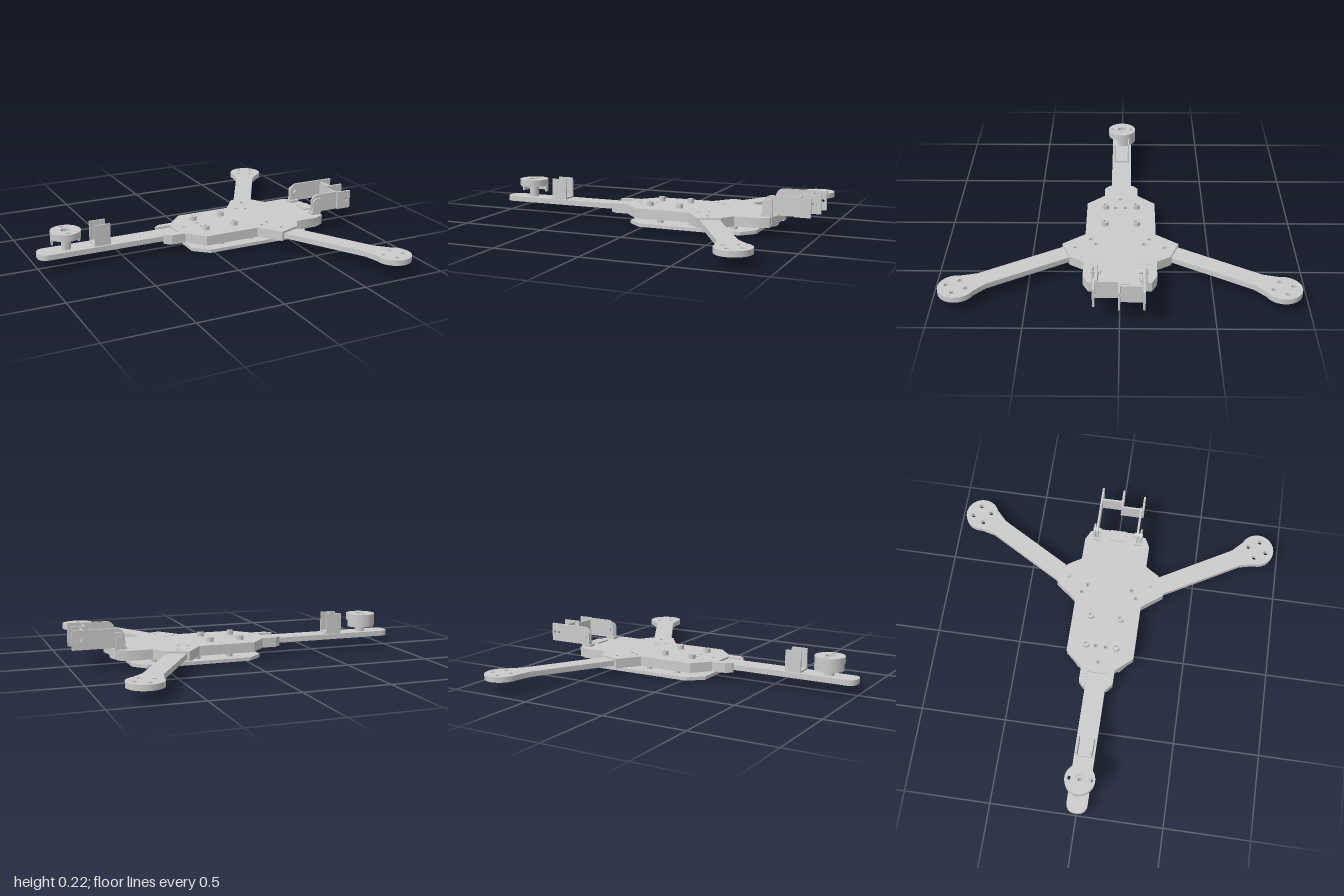
import * as THREE from 'three';
import { toCreasedNormals } from 'three/addons/utils/BufferGeometryUtils.js';

const material = new THREE.MeshStandardMaterial({ color: 0xcccccc, side: THREE.DoubleSide });

function add(parent, name, geometry, x = 0, y = 0, z = 0) {
  const mesh = new THREE.Mesh(geometry, material);
  mesh.name = name;
  mesh.position.set(x, y, z);
  parent.add(mesh);
  return mesh;
}

const box = (w, h, d) => new THREE.BoxGeometry(w, h, d);

function circle(x, y, r) {
  const path = new THREE.Path();
  path.absarc(x, y, r, 0, Math.PI * 2, true);
  return path;
}

function extrude(shape, depth) {
  const g = new THREE.ExtrudeGeometry(shape, { depth, bevelEnabled: false, curveSegments: 20 });
  return toCreasedNormals(g, 0.6);
}

// Horizontal plate: shape x is model x, shape y is model -z
const plate = (shape, y0, y1) => extrude(shape, y1 - y0).rotateX(-Math.PI / 2).translate(0, y0, 0);

// Closed outline symmetric about the x axis, from its half points
function symmetric(half) {
  const points = half.map(([x, y]) => new THREE.Vector2(x, y));
  const other = half.map(([x, y]) => new THREE.Vector2(x, -y)).reverse();
  return new THREE.Shape([...points, ...other]);
}

// Upright tube with a bore
function spacer(r, bore, y0, y1) {
  const s = new THREE.Shape().absarc(0, 0, r, 0, Math.PI * 2, false);
  s.holes.push(circle(0, 0, bore));
  return plate(s, y0, y1);
}

function createBody() {
  const body = new THREE.Group();
  body.name = 'body';
  const outline = symmetric([
    [-0.165, 0.06], [-0.26, 0.06], [-0.26, 0.07], [-0.225, 0.1], [-0.14, 0.1], [-0.05, 0.2],
    [0.285, 0.2], [0.38, 0.325], [0.505, 0.28], [0.555, 0.2], [0.69, 0.2], [0.75, 0.17],
    [0.75, 0.14], [0.77, 0.1], [0.77, 0.05], [0.7, 0.05],
  ]);
  const holes = [[-0.1, 0], [0, 0.03], [0, -0.03]];
  for (const s of [-1, 1]) holes.push([0.335, 0.165 * s], [0.385, 0.135 * s], [0.42, 0.25 * s]);
  for (const [x, z] of holes) outline.holes.push(circle(x, z, 0.012));
  add(body, 'centrePlate', plate(outline, 0.05, 0.107));
  add(body, 'frontBlock', box(0.07, 0.055, 0.1), 0.735, 0.0875, 0);

  // Lower tray hung on spacers
  const tray = symmetric([[-0.11, 0.125], [-0.025, 0.2], [0.59, 0.2], [0.66, 0.125]]);
  for (const s of [-1, 1]) {
    for (const x of [0.08, 0.275, 0.53]) {
      tray.holes.push(circle(x, 0.125 * s, 0.01));
      add(body, 'traySpacer', spacer(0.019, 0.01, 0.018, 0.052), x, 0, 0.125 * s);
    }
    for (const x of [0, 0.185]) add(body, 'topSpacer', spacer(0.02, 0.011, 0.1, 0.132), x, 0, 0.09 * s);
  }
  add(body, 'lowerTray', plate(tray, 0, 0.02));
  return body;
}

// Arm along local +x, ending in a round motor pad at the local origin
function createArm() {
  const s = new THREE.Shape();
  const a = Math.atan2(0.08, -0.06);
  s.moveTo(-0.72, -0.055);
  s.lineTo(-0.145, -0.055);
  s.lineTo(-0.06, -0.08);
  s.absarc(0, 0, 0.1, -a, a, false);
  s.lineTo(-0.145, 0.055);
  s.lineTo(-0.72, 0.055);
  for (let i = 0; i < 4; i++) {
    const t = 0.8 + (i * Math.PI) / 2;
    s.holes.push(circle(0.056 * Math.cos(t), 0.056 * Math.sin(t), 0.013));
  }
  return plate(s, 0.064, 0.095);
}

function createTail() {
  const tail = new THREE.Group();
  tail.name = 'tail';
  const s = new THREE.Shape();
  s.moveTo(-0.165, -0.06);
  s.lineTo(-0.165, 0.06);
  s.lineTo(-0.95, 0.06);
  s.absarc(-0.95, 0.01, 0.05, Math.PI / 2, Math.PI, false);
  s.absarc(-0.95, -0.01, 0.05, Math.PI, Math.PI * 1.5, false);
  add(tail, 'tailBoom', plate(s, 0.064, 0.095));

  // U-shaped servo bracket
  add(tail, 'servoBracketBase', box(0.095, 0.012, 0.095), -0.628, 0.1, 0);
  for (const z of [-0.043, 0.043]) add(tail, 'servoBracketWall', box(0.095, 0.125, 0.009), -0.628, 0.157, z);

  // Rotating motor mount with a skirt, deeper at the back
  const mount = new THREE.Group();
  mount.name = 'tailMotorMount';
  mount.position.x = -0.83;
  const disc = new THREE.Shape().absarc(0, 0, 0.087, 0, Math.PI * 2, false);
  disc.holes.push(circle(0, 0, 0.027));
  for (let i = 0; i < 2; i++) disc.holes.push(circle(0, i ? 0.06 : -0.06, 0.012));
  add(mount, 'mountDisc', plate(disc, 0.187, 0.205));
  const skirt = (start, y0) => {
    const w = new THREE.Shape();
    w.absarc(0, 0, 0.086, start, start + Math.PI, false);
    w.absarc(0, 0, 0.074, start + Math.PI, start, true);
    return plate(w, y0, 0.19);
  };
  add(mount, 'backSkirt', skirt(0, 0.127));
  add(mount, 'frontSkirt', skirt(Math.PI, 0.165));
  add(mount, 'pivotPost', spacer(0.028, 0.012, 0.09, 0.19));
  tail.add(mount);
  return tail;
}

// Upright side panel in the xy plane with one rounded upper corner
function sidePanel(x0, x1, y0, y1, r, holes) {
  const s = new THREE.Shape();
  s.moveTo(x0, y0);
  s.lineTo(x1, y0);
  s.lineTo(x1, y1);
  if (r) s.absarc(x0 + r, y1 - r, r, Math.PI / 2, Math.PI, false);
  else s.lineTo(x0, y1);
  for (const x of holes) s.holes.push(circle(x, 0.17, 0.008));
  return extrude(s, 0.012);
}

function createCameraMount() {
  const g = new THREE.Group();
  g.name = 'cameraMount';
  // Hinge lugs on the body
  for (const s of [-1, 1]) {
    add(g, 'hingeLug', sidePanel(0.7, 0.755, 0.06, 0.205, 0.025, [0.732]), 0, 0, s * 0.143 - 0.006);
    add(g, 'lugFoot', box(0.06, 0.02, 0.045), 0.72, 0.112, s * 0.128);
    const pin = new THREE.CylinderGeometry(0.014, 0.014, 0.05, 16).rotateX(Math.PI / 2);
    add(g, 'hingePin', pin, 0.732, 0.17, s * 0.128);
  }
  // Stepped chain of panels
  add(g, 'rearPanel', sidePanel(0.7, 0.995, 0.115, 0.225, 0.045, [0.945, 0.975]), 0, 0, -0.133);
  add(g, 'rearCrossPanel', box(0.012, 0.1, 0.125), 0.922, 0.165, -0.063);
  add(g, 'middlePanel', sidePanel(0.882, 0.995, 0.115, 0.225, 0, [0.945, 0.975]), 0, 0, -0.004);
  add(g, 'frontCrossPanel', box(0.012, 0.1, 0.13), 0.886, 0.165, 0.064);
  add(g, 'frontPanel', sidePanel(0.7, 0.892, 0.115, 0.225, 0.045, [0.732]), 0, 0, 0.115);
  add(g, 'frontPanelTip', sidePanel(0.88, 0.97, 0.115, 0.225, 0, [0.945]), 0, 0, 0.128);
  return g;
}

export function createModel() {
  const model = new THREE.Group();
  model.name = 'tricopterFrame';
  model.add(createBody(), createTail(), createCameraMount());
  for (const s of [-1, 1]) {
    const arm = add(model, s > 0 ? 'frontArm' : 'rearArm', createArm(), 0.773, 0, 0.865 * s);
    arm.rotation.y = (-s * Math.PI) / 3;
  }
  return model;
}
